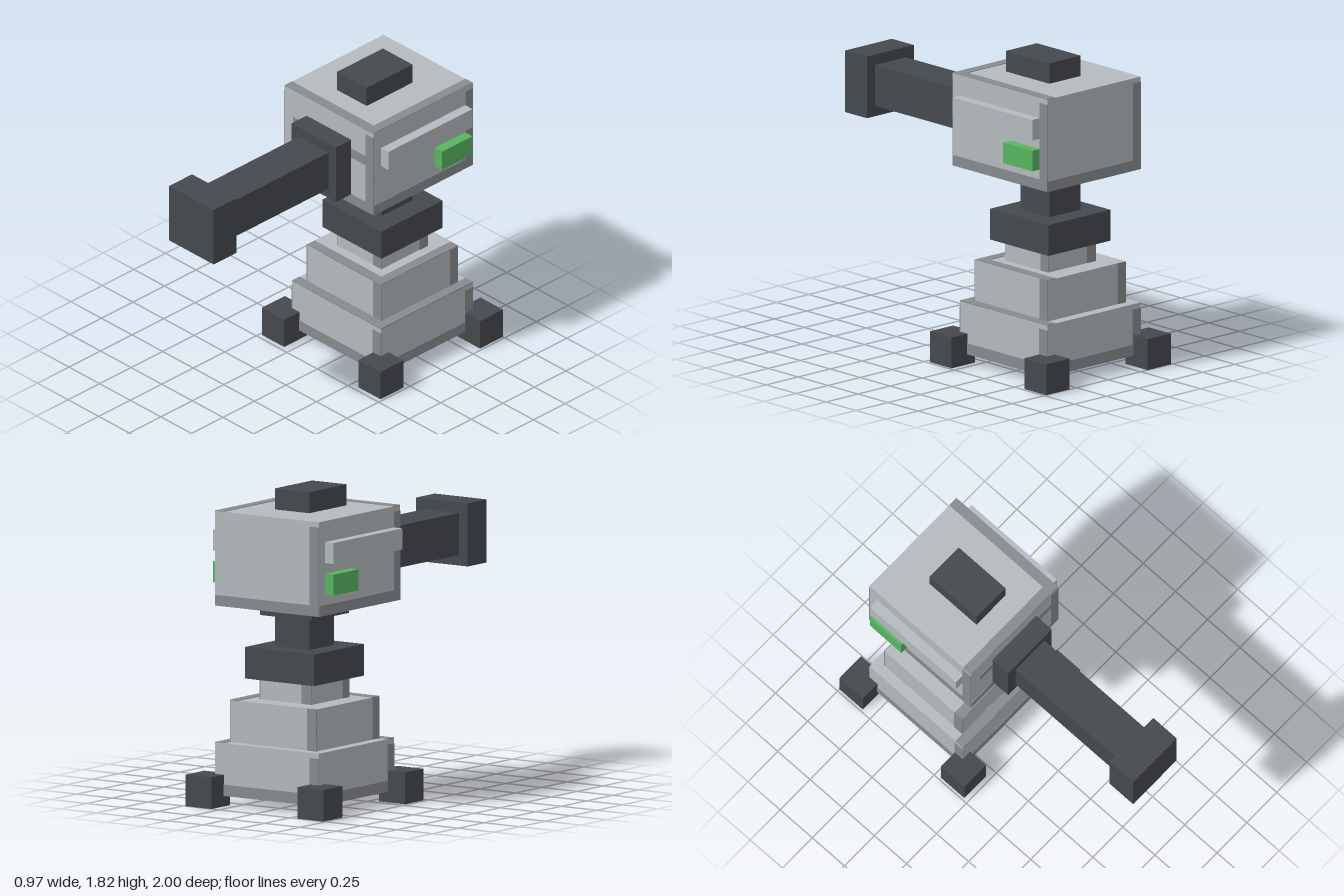
import * as THREE from 'three';

const mat = (name, color) => {
  const m = new THREE.MeshStandardMaterial({ color });
  m.name = name;
  return m;
};

export function createModel() {
  const light = mat('light grey', 0xb4babd);
  const shade = mat('mid grey', 0x878b8e);
  const dark = mat('dark grey', 0x45494d);
  const green = mat('green', 0x58b561);

  const model = new THREE.Group();
  model.name = 'turret';
  const CZ = -0.515; // centre line of the pedestal

  // Box given by its limits along each axis
  function box(name, material, [x0, x1], [y0, y1], [z0, z1], parent = model) {
    const mesh = new THREE.Mesh(new THREE.BoxGeometry(x1 - x0, y1 - y0, z1 - z0), material);
    mesh.position.set((x0 + x1) / 2, (y0 + y1) / 2, (z0 + z1) / 2);
    mesh.name = name;
    parent.add(mesh);
    return mesh;
  }
  const sym = (h, c = 0) => [c - h, c + h];

  // Thin painted bands along the right and lower edge of a w by h face
  function bands(name, w, h, { right, lower, gap = 0 }) {
    const face = new THREE.Group();
    face.name = name;
    const t = [-0.003, 0.003];
    box('rightBand', shade, [w / 2 - right, w / 2], [-h / 2, h / 2 - gap], t, face);
    if (lower) box('lowerBand', shade, [-w / 2, w / 2 - right], [-h / 2, -h / 2 + lower], t, face);
    return face;
  }

  // Light armour block with bands on its four sides and its top
  function armour(name, hx, [y0, y1], [z0, z1], style) {
    const g = new THREE.Group();
    g.name = name;
    const h = y1 - y0, d = z1 - z0, hz = d / 2;
    g.position.set(0, (y0 + y1) / 2, (z0 + z1) / 2);
    box(name + 'Block', light, sym(hx), sym(h / 2), sym(hz), g);
    for (let i = 0; i < 4; i++) {
      const a = i * Math.PI / 2;
      const side = bands('sideBands', i % 2 ? d : 2 * hx, h, style);
      side.rotation.y = a;
      side.position.set(Math.sin(a) * hx, 0, Math.cos(a) * hz);
      g.add(side);
    }
    const top = bands('topBands', 2 * hx, d, { right: 0.06, lower: 0.06 });
    top.rotation.x = -Math.PI / 2;
    top.position.y = h / 2;
    g.add(top);
    model.add(g);
  }

  // Feet
  for (const x of [-0.394, 0.394])
    for (const z of [-0.121, -0.909])
      box('foot', dark, sym(0.091, x), [0, 0.182], sym(0.091, z));

  // Stepped pedestal
  armour('base', 0.364, [0.061, 0.364], sym(0.364, CZ), { right: 0.065, lower: 0.065, gap: 0.03 });
  armour('middleStep', 0.303, [0.364, 0.606], sym(0.303, CZ), { right: 0.065 });
  armour('upperStep', 0.182, [0.606, 0.727], sym(0.182, CZ), { right: 0.068 });

  // Swivel
  box('swivelCollar', dark, sym(0.242), [0.727, 0.909], sym(0.242, CZ));
  box('neck', dark, sym(0.121), [0.909, 1.091], sym(0.121, CZ));
  box('neckPlate', dark, sym(0.182), [1.091, 1.152], sym(0.182, CZ));

  // Head
  armour('head', 0.364, [1.152, 1.697], [-0.879, -0.091], { right: 0.062, lower: 0.062, gap: 0.03 });
  box('frontBand', shade, [-0.29, 0.303], [1.46, 1.52], [-0.094, -0.088]);
  box('topHatch', dark, sym(0.121), [1.697, 1.818], [-0.636, -0.273]);

  // Side rails and lamps
  for (const s of [-1, 1]) {
    box('sideRail', light, sym(0.03, s * 0.394), [1.455, 1.576], [-0.818, -0.152]);
    box('sideLamp', green, sym(0.03, s * 0.394), [1.273, 1.394], [-0.818, -0.576]);
  }

  // Gun
  box('barrelMount', dark, sym(0.182), [1.212, 1.576], [-0.091, 0.03]);
  box('barrel', dark, sym(0.121), [1.273, 1.515], [0.03, 0.818]);
  box('muzzle', dark, sym(0.182), [1.212, 1.576], [0.818, 1]);

  return model;
}
